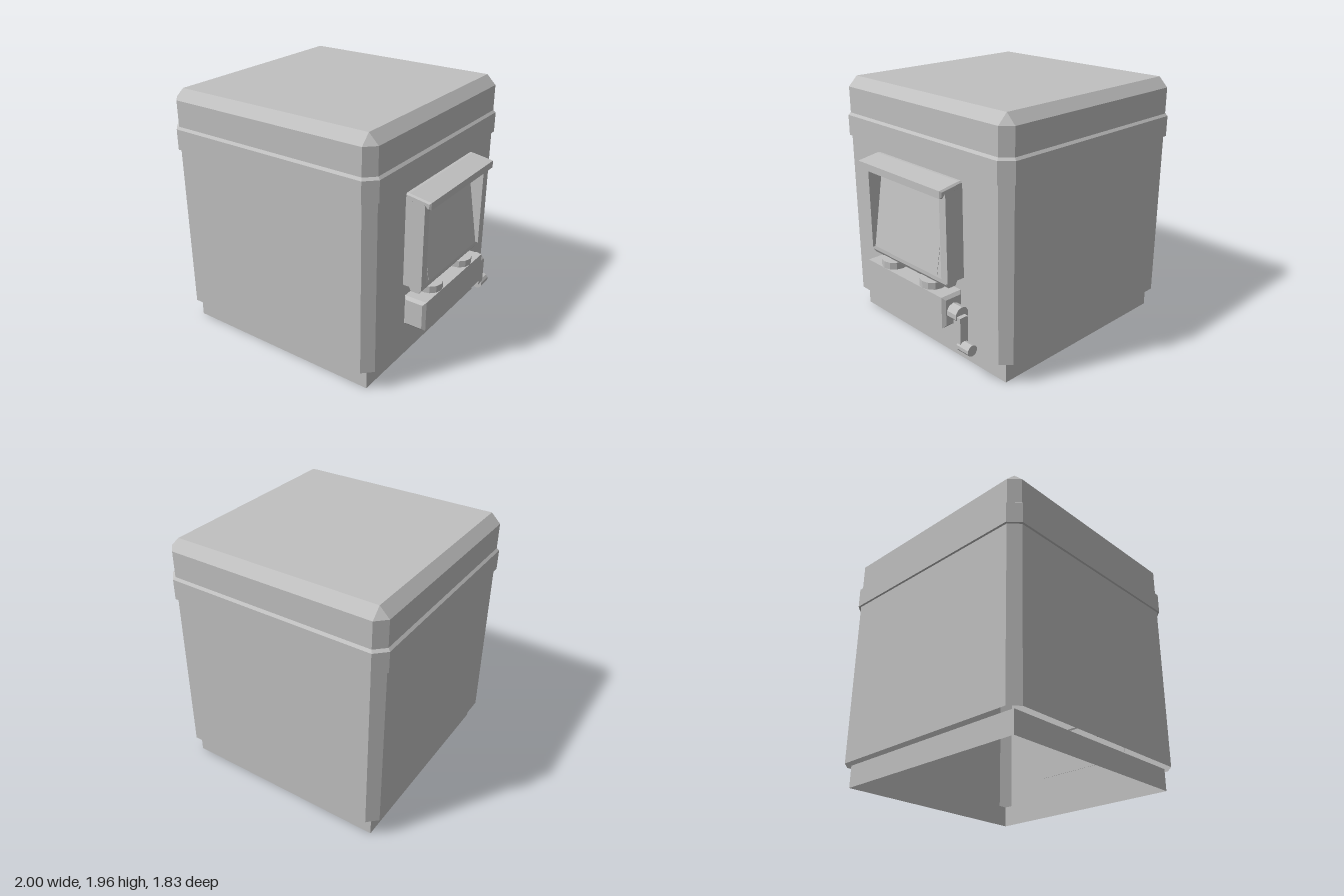
import * as THREE from 'three';

const CX = -0.0875; // centre of the cabinet, the side unit sticks out at +x

export function createModel() {
  const model = new THREE.Group();
  const grey = new THREE.MeshStandardMaterial({ color: 0xc0c0c0, side: THREE.DoubleSide, flatShading: true });
  grey.name = 'plain grey';

  function add(name, geometry, x = 0, y = 0, z = 0, parent = model) {
    const mesh = new THREE.Mesh(geometry, grey);
    mesh.name = name;
    mesh.position.set(x, y, z);
    parent.add(mesh);
    return mesh;
  }

  // Square shell with cut corners, from rings of [half width, corner cut, y]
  function shell(rings, capped) {
    const loops = rings.map(([h, c, y]) => {
      const k = h - c;
      return [[h, k], [k, h], [-k, h], [-h, k], [-h, -k], [-k, -h], [k, -h], [h, -k]]
        .map(([x, z]) => new THREE.Vector3(x, y, z));
    });
    const out = [];
    const tri = (a, b, c) => {
      if (new THREE.Triangle(a, b, c).getArea() > 1e-7) out.push(...a, ...b, ...c);
    };
    for (let r = 0; r < loops.length - 1; r++) {
      const lo = loops[r], hi = loops[r + 1];
      for (let i = 0; i < 8; i++) {
        const j = (i + 1) % 8;
        tri(lo[i], hi[i], hi[j]);
        tri(lo[i], hi[j], lo[j]);
      }
    }
    if (capped) {
      const top = loops[loops.length - 1];
      for (let i = 1; i < 7; i++) tri(top[0], top[i + 1], top[i]);
    }
    const g = new THREE.BufferGeometry();
    g.setAttribute('position', new THREE.Float32BufferAttribute(out, 3));
    g.computeVertexNormals();
    return g;
  }

  // Side profile in x and y, extruded along z and centred on it
  function extrude(points, width, bevel = 0) {
    const shape = new THREE.Shape(points.map(([x, y]) => new THREE.Vector2(x, y)));
    const g = new THREE.ExtrudeGeometry(shape, {
      depth: width - 2 * bevel, bevelEnabled: bevel > 0, bevelThickness: bevel,
      bevelSize: bevel, bevelOffset: -bevel, bevelSegments: 1,
    });
    return g.translate(0, 0, -width / 2 + bevel);
  }

  // Cabinet: open at the bottom, chamfered at the top
  add('body', shell([[0.895, 0.075, 0.17], [0.895, 0.075, 1.88], [0.82, 0, 1.955]], true), CX);
  add('base', shell([[0.83, 0, 0], [0.83, 0, 0.17]], false), CX);
  add('lidBand', shell([[0.893, 0.075, 1.5], [0.9125, 0.083, 1.5],
    [0.9125, 0.083, 1.66], [0.893, 0.075, 1.68]], false), CX);

  // Flush ring and cross on the lid
  const emblem = new THREE.Group();
  emblem.name = 'lidEmblem';
  emblem.position.set(CX, 1.957, 0);
  model.add(emblem);
  const flat = (g) => g.rotateX(-Math.PI / 2);
  add('ring', flat(new THREE.RingGeometry(0.39, 0.484, 24)), 0, 0, 0, emblem);
  const a = 0.313, b = 0.05;
  const cross = new THREE.Shape([[b, b], [b, a], [-b, a], [-b, b], [-a, b], [-a, -b], [-b, -b],
    [-b, -a], [b, -a], [b, -b], [a, -b], [a, b]].map(([x, y]) => new THREE.Vector2(x, y)));
  add('cross', flat(new THREE.ShapeGeometry(cross)), 0, 0, 0, emblem);

  // Display housing: two cheeks, a sloping hood and a tilted panel
  for (const s of [1, -1]) {
    add('cheek', extrude([[0.8, 0.72], [0.957, 0.72], [0.957, 1.39], [0.8, 1.41]], 0.067), 0, 0, s * 0.441);
  }
  add('hood', extrude([[0.8, 1.385], [0.955, 1.37], [0.975, 1.35], [1.0, 1.355], [1.0, 1.41], [0.83, 1.437],
    [0.8, 1.437]], 0.95, 0.012));
  add('tiltedPanel', extrude([[0.8, 1.39], [0.825, 1.39], [0.935, 0.72], [0.935, 0.69], [0.915, 0.66],
    [0.85, 0.66], [0.83, 0.7], [0.8, 0.75]], 0.866));

  // Thin screen lying on the tilted panel
  const slope = Math.atan2(0.11, 0.67);
  const screen = add('screen', new THREE.BoxGeometry(0.004, 0.537, 0.667), 0.8905, 0.995, 0);
  screen.rotation.z = slope;

  // Control box with two round buttons on top
  add('controlBox', extrude([[0.805, 0.37], [0.985, 0.37], [0.985, 0.612], [0.805, 0.612]], 0.914, 0.022));
  for (const z of [0.227, -0.227]) {
    add('button', new THREE.CylinderGeometry(0.1, 0.1, 0.06, 12), 0.886, 0.637, z);
  }

  // Crank at the back end of the control box
  const crank = new THREE.Group();
  crank.name = 'crank';
  model.add(crank);
  const rod = (r, l) => new THREE.CylinderGeometry(r, r, l, 10).rotateX(Math.PI / 2);
  add('axle', rod(0.06, 0.1), 0.897, 0.49, -0.5, crank);
  add('arm', new THREE.BoxGeometry(0.07, 0.215, 0.073), 0.91, 0.383, -0.548, crank);
  add('handle', rod(0.043, 0.12), 0.912, 0.26, -0.61, crank);

  return model;
}
